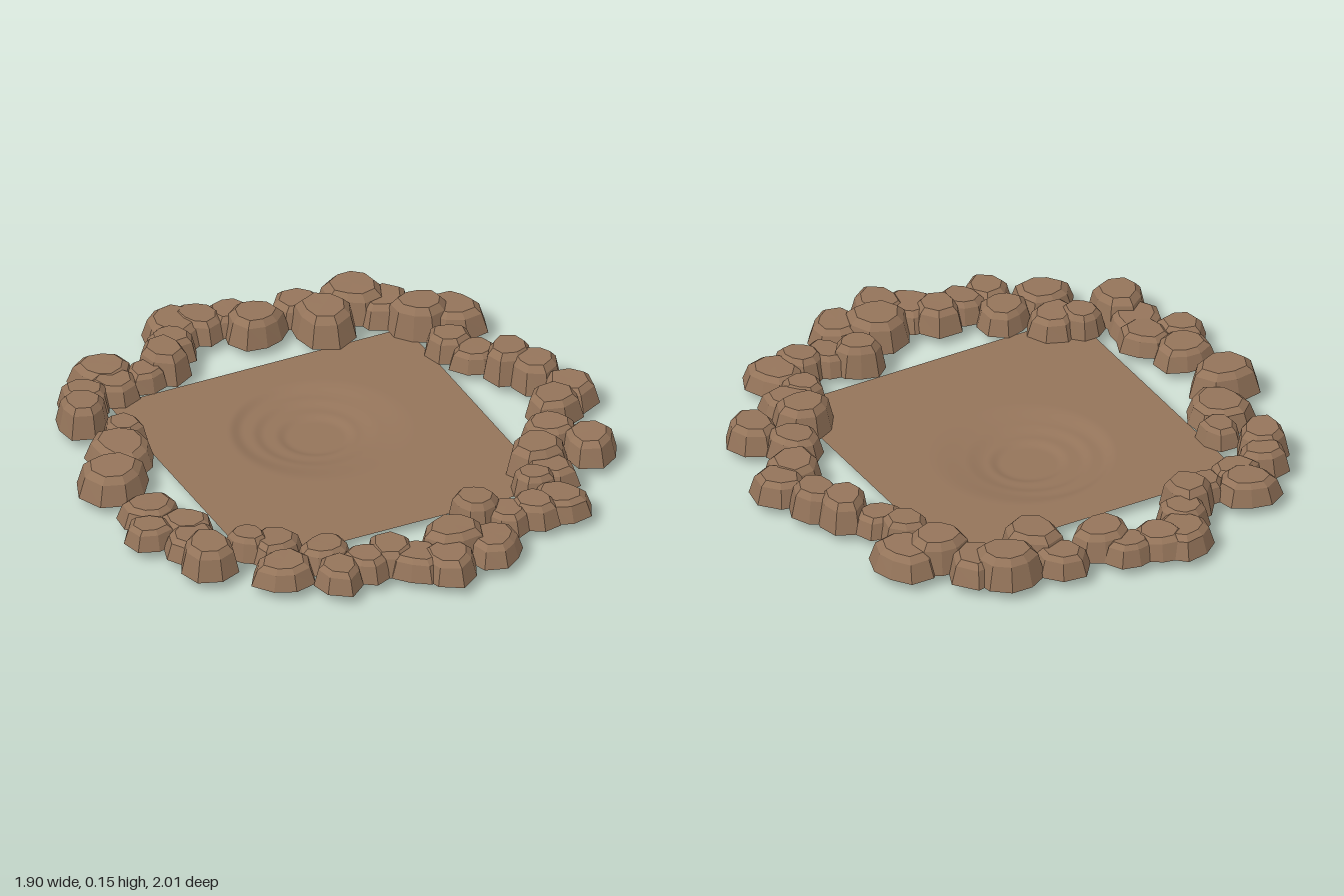
import * as THREE from 'three';

const GROUND = 0.035;

// [x, z, radius] of the taller rocks around the ring
const TALL = [
  [0.06, -0.78, 0.11], [-0.33, -0.70, 0.10], [0.28, -0.69, 0.12], [0.43, -0.77, 0.12], [0.59, -0.57, 0.11],
  [0.74, -0.18, 0.10], [0.79, -0.08, 0.10], [0.56, 0.41, 0.11], [0.21, 0.64, 0.09], [0.06, 0.77, 0.12],
  [-0.74, 0.49, 0.11], [-0.82, -0.10, 0.125], [-0.73, -0.52, 0.10],
];

// [x, z, radius] of the lower rocks that fill the ring
const LOW = [
  [-0.20, -0.89, 0.115], [-0.11, -0.88, 0.10], [0.0, -0.87, 0.09], [-0.26, -0.79, 0.09], [0.24, -0.82, 0.10],
  [0.51, -0.70, 0.11], [0.70, -0.54, 0.12], [0.61, -0.38, 0.09], [0.66, -0.28, 0.09], [0.85, 0.07, 0.105],
  [0.76, 0.13, 0.11], [0.67, 0.28, 0.10], [0.76, 0.41, 0.105], [0.56, 0.51, 0.10], [0.48, 0.55, 0.08],
  [0.51, 0.69, 0.11], [0.40, 0.71, 0.09], [0.30, 0.70, 0.09], [0.18, 0.84, 0.11], [-0.01, 0.88, 0.11],
  [-0.10, 0.82, 0.11], [-0.17, 0.75, 0.10], [-0.27, 0.76, 0.09], [-0.38, 0.78, 0.095], [-0.37, 0.64, 0.10],
  [-0.54, 0.67, 0.11], [-0.50, 0.52, 0.10], [-0.58, 0.47, 0.08], [-0.74, 0.37, 0.11], [-0.85, 0.25, 0.09],
  [-0.72, 0.27, 0.10], [-0.79, 0.13, 0.105], [-0.71, -0.26, 0.125], [-0.64, -0.38, 0.08], [-0.68, -0.61, 0.09],
  [-0.55, -0.64, 0.095], [-0.55, -0.73, 0.11], [-0.42, -0.66, 0.08],
];

let seed = 7;
function rand() {
  seed = (seed * 16807) % 2147483647;
  return seed / 2147483647;
}

// Open-bottomed boulder: sloping sides, bevelled shoulder and flat top
function makeRock(radius, height, material) {
  const profile = [[1, 0], [0.82, 0.78], [0.62, 1], [0, 1]]
    .map(([r, y]) => new THREE.Vector2(r * radius, y * height));
  const geometry = new THREE.LatheGeometry(profile, 7 + Math.floor(rand() * 3));
  const a = rand() * 6.28, b = rand() * 6.28, c = rand() * 6.28;
  const p = geometry.attributes.position;
  for (let i = 0; i < p.count; i++) {
    const x = p.getX(i), z = p.getZ(i), t = Math.atan2(z, x);
    const k = 1 + 0.08 * Math.sin(2 * t + a) + 0.06 * Math.sin(3 * t + b);
    const tilt = p.getY(i) > 0 ? 0.04 * Math.sin(t + c) * Math.hypot(x, z) : 0;
    p.setXYZ(i, x * k, p.getY(i) + tilt, z * k);
  }
  geometry.computeVertexNormals();
  return new THREE.Mesh(geometry, material);
}

// Square sheet with a terraced, swirling hollow
function makeGround(material) {
  const geometry = new THREE.PlaneGeometry(1.14, 1.14, 110, 110);
  geometry.rotateX(-Math.PI / 2);
  geometry.translate(-0.025, 0, -0.02);
  const p = geometry.attributes.position;
  const step = (r, outer, width) => 1 - THREE.MathUtils.smoothstep(r, outer - width, outer);
  for (let i = 0; i < p.count; i++) {
    const x = p.getX(i) + 0.02, z = p.getZ(i) + 0.14;
    const r = Math.hypot(x, z);
    // the wall is steep at the back left and soft at the front right
    const soft = (1 + Math.cos(Math.atan2(z, x) - 0.8)) / 2;
    const depth = 0.015 * step(r, 0.3 + 0.05 * soft, 0.045 + 0.13 * soft)
      + 0.010 * step(r, 0.22, 0.04 + 0.03 * soft)
      + 0.010 * step(r, 0.14, 0.04);
    p.setY(i, GROUND - depth);
  }
  geometry.computeVertexNormals();
  return new THREE.Mesh(geometry, material);
}

export function createModel() {
  const model = new THREE.Group();
  model.name = 'rockRingPit';

  const earth = new THREE.MeshStandardMaterial({ color: 0x94745a, side: THREE.DoubleSide });
  earth.name = 'earthBrown';
  const stone = earth.clone();
  stone.flatShading = true;
  stone.name = 'stoneBrown';

  const ground = makeGround(earth);
  ground.name = 'sunkenGround';
  model.add(ground);

  // Ring of rocks
  const ring = new THREE.Group();
  ring.name = 'rockRing';
  model.add(ring);
  const place = (list, name, low, spread) => list.forEach(([x, z, r]) => {
    const rock = makeRock(r, low + spread * rand(), stone);
    rock.name = name;
    rock.position.set(x, GROUND, z);
    ring.add(rock);
  });
  place(TALL, 'tallRock', 0.098, 0.02);
  place(LOW, 'lowRock', 0.07, 0.02);

  return model;
}
